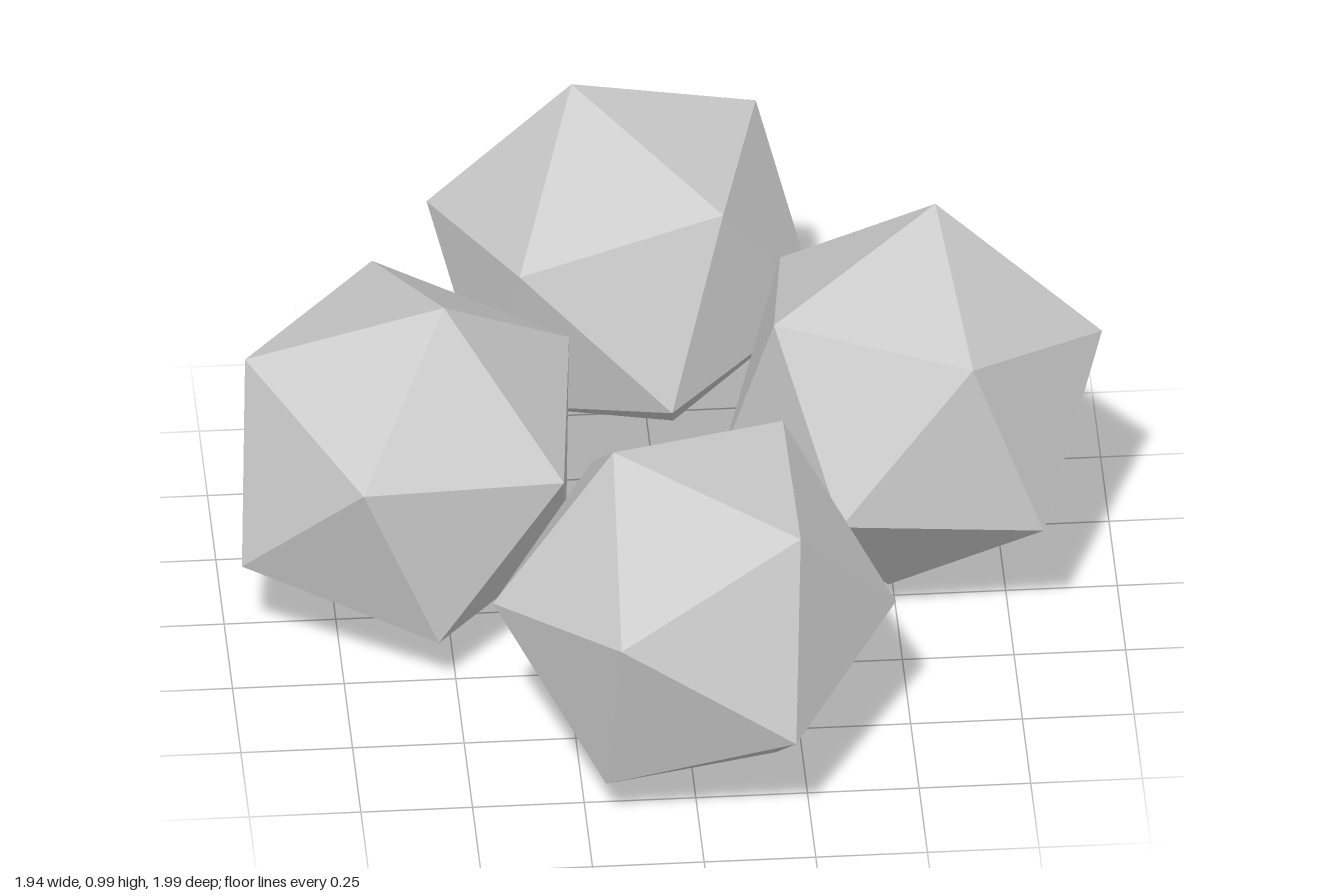
import * as THREE from 'three';

const RADIUS = 0.452;

// Each rock: centre, then two neighbouring corners relative to it that fix its tilt
const ROCKS = [
  { name: 'frontRock', centre: [0.008, 0.437, 0.606], a: [-0.183, 0.414, -0.008], b: [0.222, 0.318, 0.229] },
  { name: 'leftRock', centre: [0.543, 0.521, -0.044], a: [0.062, 0.43, -0.122], b: [0.427, 0.152, -0.001] },
  { name: 'backRock', centre: [-0.065, 0.563, -0.581], a: [-0.112, 0.437, -0.041], b: [0.314, 0.273, -0.182] },
  { name: 'rightRock', centre: [-0.593, 0.444, -0.014], a: [0.081, 0.438, 0.071], b: [-0.36, 0.276, 0.004] },
];

// The icosahedron's top edge lies along x at the top of y; turn it onto the edge a-b
function edgeRotation(a, b) {
  const y = a.clone().add(b).normalize();
  const x = b.clone().sub(a);
  x.addScaledVector(y, -x.dot(y)).normalize();
  const z = x.clone().cross(y);
  return new THREE.Matrix4().makeBasis(x, y, z);
}

export function createModel() {
  const group = new THREE.Group();
  group.name = 'rockCluster';
  const geometry = new THREE.IcosahedronGeometry(RADIUS, 0);
  const material = new THREE.MeshStandardMaterial({ color: 0xcccccc, flatShading: true });

  for (const { name, centre, a, b } of ROCKS) {
    const rock = new THREE.Mesh(geometry, material);
    rock.name = name;
    rock.position.set(...centre);
    rock.quaternion.setFromRotationMatrix(
      edgeRotation(new THREE.Vector3(...a), new THREE.Vector3(...b)));
    group.add(rock);
  }
  return group;
}
